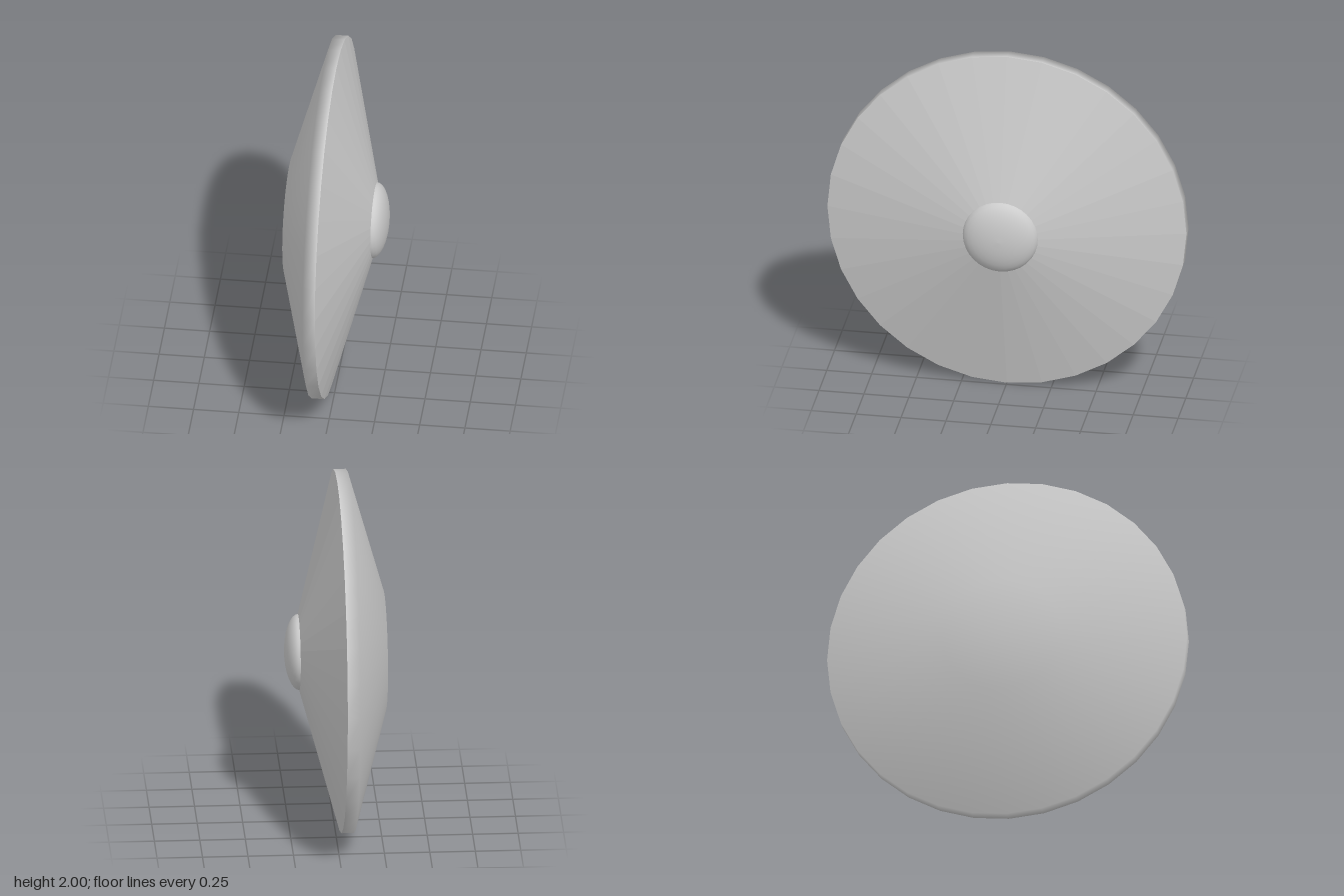
import * as THREE from 'three';

const SIDES = 32;

// Turns a profile of [radius, x] points about the x axis
function turned(name, profile, flatShading = false) {
  const points = profile.map(([r, x]) => new THREE.Vector2(r, x));
  const geometry = new THREE.LatheGeometry(points, SIDES);
  geometry.rotateZ(-Math.PI / 2);
  const mesh = new THREE.Mesh(
    geometry,
    new THREE.MeshStandardMaterial({ color: 0xcccccc, flatShading })
  );
  mesh.name = name;
  mesh.position.y = 1;
  return mesh;
}

export function createModel() {
  const group = new THREE.Group();
  group.name = 'disc';

  // Smooth back: flat centre, sloping cone and narrow outer rim
  group.add(turned('backShell', [[0, -0.28], [0.33, -0.28], [1, -0.09], [1, -0.02]]));

  // Faceted shallow cone facing +x
  group.add(turned('faceCone', [[1, -0.02], [0.2, 0.195]], true));

  // Flattened hemispherical boss in the middle of the face
  const boss = [];
  for (let i = 0; i <= 8; i++) {
    const a = (i / 8) * Math.PI / 2;
    boss.push([0.21 * Math.cos(a), 0.19 + 0.082 * Math.sin(a)]);
  }
  boss[8][0] = 0;
  group.add(turned('centreBoss', boss));

  return group;
}
